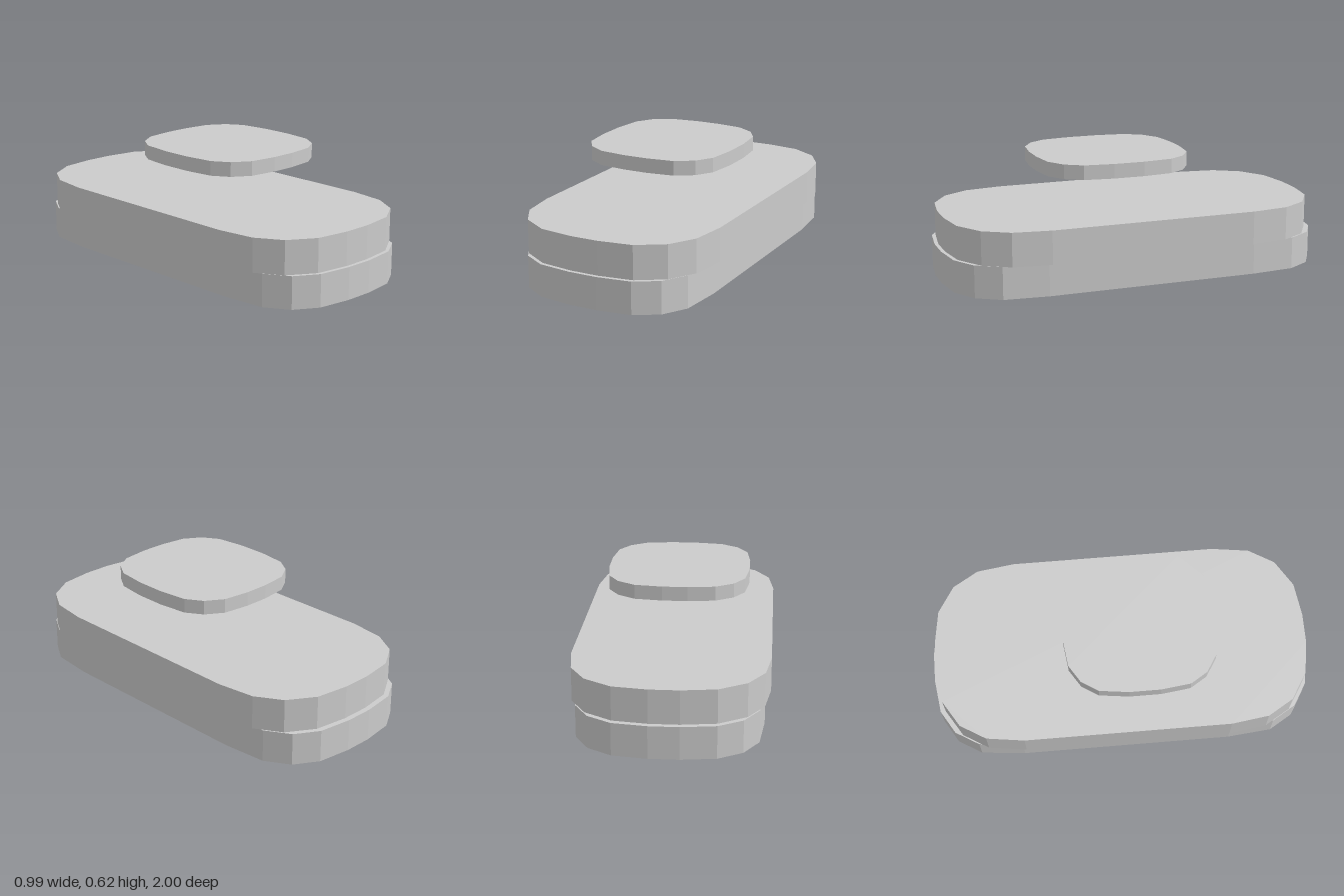
import * as THREE from 'three';

const solid = new THREE.MeshStandardMaterial({ color: 0xcccccc, flatShading: true });
const shell = new THREE.MeshStandardMaterial({ color: 0xcccccc, flatShading: true, side: THREE.DoubleSide });

// Slab with a faceted rounded outline, mirrored from one quadrant of [x, z] points.
function slab(name, quadrant, bottom, top, centerZ, openBelow = false) {
  const outline = [];
  for (const [sx, sz] of [[1, 1], [-1, 1], [-1, -1], [1, -1]]) {
    const pts = quadrant.map(([x, z]) => new THREE.Vector2(x * sx, z * sz));
    outline.push(...(sx * sz > 0 ? pts : pts.reverse()));
  }
  let geometry = new THREE.ExtrudeGeometry(new THREE.Shape(outline), {
    depth: top - bottom,
    bevelEnabled: false,
  });
  if (openBelow) {
    // The lower cap comes first in the extrusion: leave its triangles out
    const kept = geometry.attributes.position.array.slice((outline.length - 2) * 9);
    geometry = new THREE.BufferGeometry();
    geometry.setAttribute('position', new THREE.BufferAttribute(kept, 3));
    geometry.computeVertexNormals();
  }
  geometry.rotateX(-Math.PI / 2);
  const mesh = new THREE.Mesh(geometry, openBelow ? shell : solid);
  mesh.name = name;
  mesh.position.set(0, bottom, centerZ);
  return mesh;
}

export function createModel() {
  const group = new THREE.Group();
  group.name = 'layeredSlabs';

  // Slightly longer, narrower base: a thin shell, hollow from below
  group.add(slab('base',
    [[0.467, 0.55], [0.445, 0.78], [0.371, 0.903], [0.25, 0.976], [0.075, 1.0]],
    0, 0.167, 0, true));

  // Wider body resting on the base
  group.add(slab('body',
    [[0.495, 0.537], [0.468, 0.733], [0.388, 0.866], [0.25, 0.952], [0.075, 0.977]],
    0.167, 0.34, 0.004));

  // Small pad floating above the body
  group.add(slab('floatingPad',
    [[0.368, 0.08], [0.349, 0.232], [0.295, 0.318], [0.205, 0.375], [0.065, 0.393]],
    0.541, 0.615, 0.098));

  return group;
}
